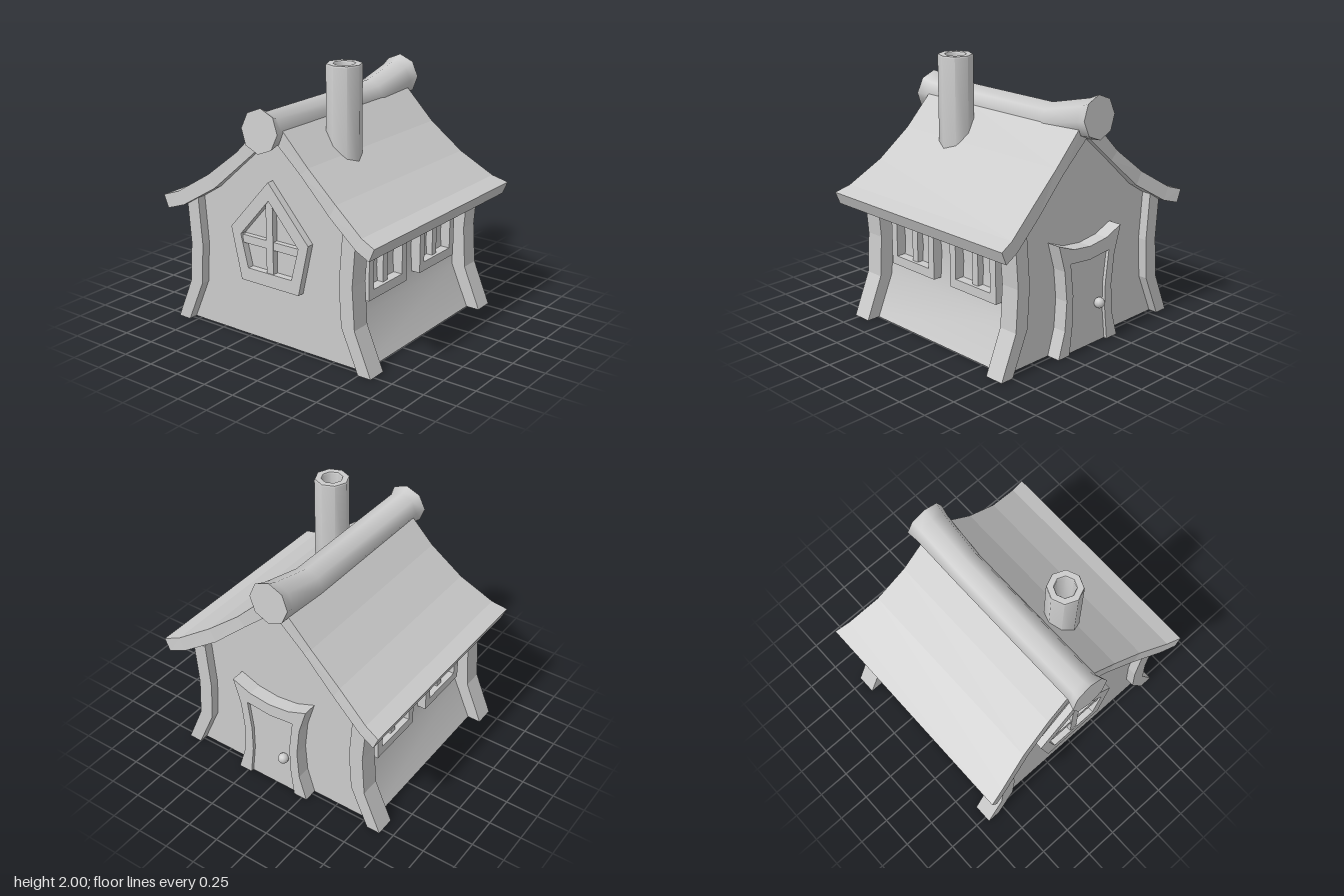
import * as THREE from 'three';
import { toCreasedNormals } from 'three/addons/utils/BufferGeometryUtils.js';

const mat = new THREE.MeshStandardMaterial({ color: 0xcccccc });
const thin = new THREE.MeshStandardMaterial({ color: 0xcccccc, side: THREE.DoubleSide });

function add(parent, name, geometry, material = mat) {
  const mesh = new THREE.Mesh(geometry, material);
  mesh.name = name;
  parent.add(mesh);
  return mesh;
}

const toShape = (pts) => new THREE.Shape(pts.map(([x, y]) => new THREE.Vector2(x, y)));
const flip = (pts) => pts.map(([x, y]) => [-x, y]).reverse();

// Flat outline pushed from z0 to z1, with optional hole
function slab(pts, z0, z1, hole) {
  const shape = toShape(pts);
  if (hole) shape.holes.push(toShape(hole));
  const g = new THREE.ExtrudeGeometry(shape, { depth: z1 - z0, bevelEnabled: false });
  return g.translate(0, 0, z0);
}

function box(x0, x1, y0, y1, z0, z1) {
  return new THREE.BoxGeometry(x1 - x0, y1 - y0, z1 - z0)
    .translate((x0 + x1) / 2, (y0 + y1) / 2, (z0 + z1) / 2);
}

const MID = -0.027; // centre line of walls and ridge
const wallLine = [[0.775, 0], [0.635, 0.32], [0.615, 0.63], [0.645, 1.0]];
const postLine = [[0.88, 0], [0.745, 0.32], [0.725, 0.63], [0.75, 0.95]];

function buildWalls(house) {
  // Gable walls
  const half = [...wallLine, [0.52, 1.11], [0.25, 1.36]];
  const gable = [...half, [0, 1.57], ...flip(half)];
  for (const [name, z] of [['frontWall', 0.72], ['backWall', -0.72]]) {
    add(house, name, new THREE.ShapeGeometry(toShape(gable)), thin).position.z = z;
  }
  for (const s of [1, -1]) {
    // Curved side wall
    const g = new THREE.PlaneGeometry(1.44, 1, 1, 3).rotateY((s * Math.PI) / 2);
    const p = g.attributes.position;
    for (let i = 0; i < p.count; i++) {
      const [x, y] = wallLine[3 - Math.floor(i / 2)];
      p.setXYZ(i, s * x, y, p.getZ(i));
    }
    g.computeVertexNormals();
    add(house, s > 0 ? 'leftWall' : 'rightWall', g, thin);
    // Corner posts
    const outline = [...postLine, ...[...wallLine].reverse()];
    for (const z of [0.64, -0.79]) {
      add(house, 'cornerPost', slab(s > 0 ? outline : flip(outline), z, z + 0.15));
    }
    // Side windows
    for (const z of [0.32, -0.315]) {
      const w = new THREE.Group();
      w.name = 'sideWindow';
      w.position.set(s * 0.64, 0, z);
      house.add(w);
      for (const d of [1, -1]) {
        const c = d * 0.202;
        add(w, 'windowJamb', box(-0.055, 0.055, 0.44, 0.96, c - 0.029, c + 0.029));
      }
      add(w, 'windowSill', box(-0.055, 0.055, 0.44, 0.51, -0.173, 0.173));
      add(w, 'windowHead', box(-0.055, 0.055, 0.9, 0.96, -0.173, 0.173));
      add(w, 'windowBar', box(-0.03, 0.03, 0.51, 0.9, -0.028, 0.028));
    }
  }
}

function buildFrontWindow(house) {
  const outer = [[0, 1.22], [-0.345, 0.83], [-0.257, 0.445], [0.257, 0.445], [0.345, 0.83]];
  const inner = [[0, 1.085], [-0.258, 0.79], [-0.195, 0.545], [0.195, 0.545], [0.258, 0.79]];
  const w = new THREE.Group();
  w.name = 'frontWindow';
  house.add(w);
  add(w, 'frontWindowFrame', slab(outer, 0.722, 0.775, inner));
  const bar = [[-0.03, 0.545], [0.03, 0.545], [0.03, 1.05], [0, 1.085], [-0.03, 1.05]];
  add(w, 'verticalBar', slab(bar, 0.722, 0.768));
  add(w, 'crossBar', box(-0.25, 0.25, 0.725, 0.785, 0.722, 0.762));
}

function buildDoor(group) {
  const door = new THREE.Group();
  door.name = 'door';
  door.position.x = 0.02;
  group.add(door);
  // Frame with hollowed sides and a sagging head
  const side = [[0.31, 0], [0.25, 0.2], [0.235, 0.42], [0.26, 0.65], [0.32, 0.85]];
  const outer = [...side, [0.17, 0.79], [0, 0.77], [-0.17, 0.79], ...flip(side)];
  const inside = [[0.2, 0], [0.17, 0.25], [0.17, 0.45], [0.2, 0.69]];
  const panel = [...inside, [0, 0.67], ...flip(inside)];
  const frame = [...outer, ...[...panel].reverse()];
  add(door, 'doorFrame', slab(frame, -0.825, -0.715));
  add(door, 'doorPanel', slab(panel, -0.8, -0.715));
  add(door, 'doorKnob', new THREE.SphereGeometry(0.04, 12, 8)).position.set(-0.11, 0.31, -0.825);
}

function buildRoof(group) {
  // Stations from ridge to eave: top x, top y, under x, under y, reach in z
  const half = [
    [0.315, 1.38, 0.25, 1.32, 0.765], [0.563, 1.18, 0.51, 1.085, 0.79],
    [0.812, 1.02, 0.765, 0.925, 0.845], [0.93, 0.98, 0.89, 0.885, 0.872],
  ];
  const mirrored = half.map(([a, b, c, d, e]) => [-a, b, -c, d, e]).reverse();
  const stations = [...mirrored, [0, 1.7, 0, 1.54, 0.76], ...half];
  const verts = [], index = [];
  stations.forEach(([tx, ty, ux, uy, z], i) => {
    verts.push(tx, ty, z, tx, ty, -z, ux, uy, -z, ux, uy, z);
    if (i === 0) return;
    const a = (i - 1) * 4, b = i * 4;
    for (let k = 0; k < 4; k++) {
      const n = (k + 1) % 4;
      index.push(a + k, b + k, b + n, a + k, b + n, a + n);
    }
  });
  const e = (stations.length - 1) * 4;
  index.push(0, 1, 2, 0, 2, 3, e, e + 2, e + 1, e, e + 3, e + 2);
  const g = new THREE.BufferGeometry();
  g.setAttribute('position', new THREE.Float32BufferAttribute(verts, 3));
  g.setIndex(index);
  const flat = g.toNonIndexed();
  flat.computeVertexNormals();
  add(group, 'roof', flat);
}

function buildRidgeLog(group) {
  // Rings: z, centre y, radius, lean of the ring
  const rings = [
    [0.855, 1.597, 0.157, -0.1], [0.775, 1.59, 0.13, 0], [-0.41, 1.59, 0.13, 0],
    [-0.76, 1.663, 0.143, 0.06], [-0.84, 1.685, 0.157, 0.06],
  ];
  const g = new THREE.CylinderGeometry(1, 1, 1, 8, rings.length - 1).rotateX(Math.PI / 2);
  const p = g.attributes.position;
  for (let i = 0; i < p.count; i++) {
    const [z, y, r, lean] = rings[Math.round((0.5 - p.getZ(i)) * (rings.length - 1))];
    p.setXYZ(i, MID + p.getX(i) * r, y + p.getY(i) * r, z + p.getY(i) * r * lean);
  }
  add(group, 'ridgeLog', toCreasedNormals(g, 0.9));
}

function buildChimney(group) {
  const profile = [
    [0, 1.25], [0.128, 1.25], [0.128, 1.99], [0.124, 2], [0.08, 2], [0.075, 1.99], [0.075, 1.6], [0, 1.6],
  ].map(([x, y]) => new THREE.Vector2(x, y));
  const g = toCreasedNormals(new THREE.LatheGeometry(profile, 8), 0.8);
  add(group, 'chimney', g).position.set(0.256, 0, 0.28);
}

export function createModel() {
  const group = new THREE.Group();
  group.name = 'cottage';
  const house = new THREE.Group();
  house.name = 'house';
  house.position.x = MID;
  group.add(house);
  buildWalls(house);
  buildFrontWindow(house);
  buildDoor(group);
  buildRoof(group);
  buildRidgeLog(group);
  buildChimney(group);
  return group;
}
